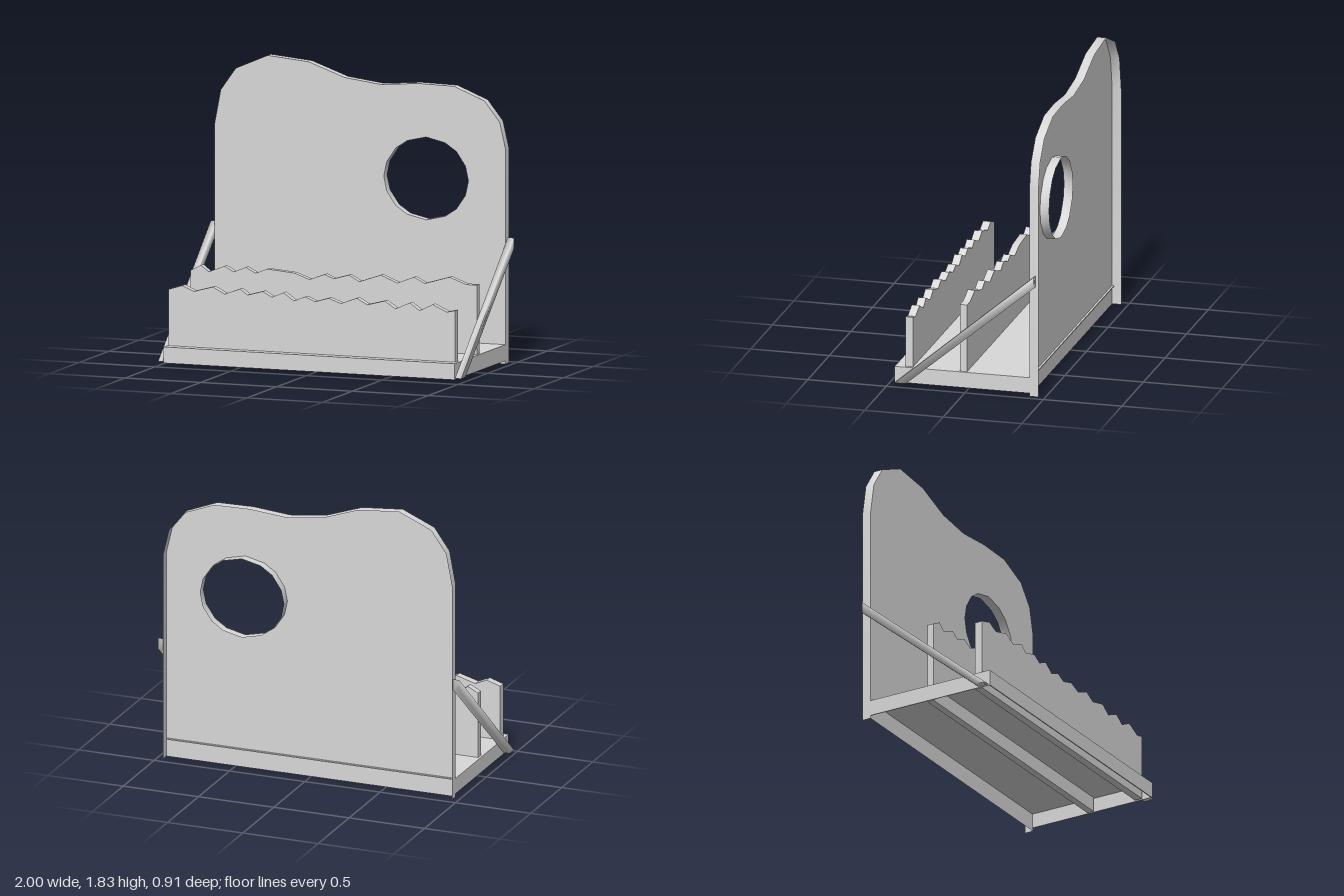
import * as THREE from 'three';
import { toCreasedNormals } from 'three/addons/utils/BufferGeometryUtils.js';

export function createModel() {
  const group = new THREE.Group();
  const grey = new THREE.MeshStandardMaterial({ color: 0xd8d8d8, side: THREE.DoubleSide });
  grey.name = 'plain grey';

  const add = (name, geometry) => {
    const mesh = new THREE.Mesh(geometry, grey);
    mesh.name = name;
    group.add(mesh);
  };
  const points = (list) => list.map(([x, y]) => new THREE.Vector2(x, y));

  // Box given by its limits
  const box = (name, x0, x1, y0, y1, z0, z1) => {
    const geo = new THREE.BoxGeometry(x1 - x0, y1 - y0, z1 - z0);
    geo.translate((x0 + x1) / 2, (y0 + y1) / 2, (z0 + z1) / 2);
    add(name, geo);
  };

  // Thin rim that follows a line of points from one depth to another
  const rim = (name, line, zFront, zBack) => {
    const geo = new THREE.PlaneGeometry(1, 1, line.length - 1, 1);
    const p = geo.attributes.position;
    for (let i = 0; i < p.count; i++) {
      const [x, y] = line[i % line.length];
      p.setXYZ(i, x, y, i < line.length ? zFront : zBack);
    }
    add(name, toCreasedNormals(geo, 0.6));
  };

  // Tall back panel: a wavy-topped sheet with a round window, rims turned to the rear
  const panelFront = -0.4, panelBack = -0.458;
  const panelOutline = [
    [0.96, 0], [0.96, 1.33], [0.92, 1.5], [0.82, 1.625], [0.62, 1.705],
    [0.38, 1.71], [0.14, 1.69], [-0.1, 1.72], [-0.34, 1.805], [-0.61, 1.83],
    [-0.82, 1.74], [-0.92, 1.6], [-0.96, 1.39], [-0.96, 0],
  ];
  const quarter = [[0, 0.257], [0.125, 0.228], [0.2, 0.178], [0.26, 0.09], [0.279, 0]];
  const half = [...quarter, ...quarter.slice(0, 4).reverse().map(([x, y]) => [x, -y])];
  const windowHole = [...half, ...half.slice(1, 8).reverse().map(([x, y]) => [-x, y])]
    .map(([x, y]) => [x + 0.435, y + 1.123]);
  const panelShape = new THREE.Shape(points(panelOutline));
  panelShape.holes.push(new THREE.Path(points(windowHole)));
  add('backPanel', new THREE.ShapeGeometry(panelShape).translate(0, 0, panelFront));
  rim('backPanelRim', panelOutline, panelFront, panelBack);
  rim('windowRim', [...windowHole, windowHole[0]], panelFront, panelBack);

  // Thin-walled tray, hollow underneath; its floor pokes just through the panel
  box('trayFloor', -0.955, 0.955, 0.113, 0.12, -0.413, 0.456);
  box('trayFront', -0.96, 0.96, 0.02, 0.12, 0.45, 0.457);
  for (const side of [-1, 1]) {
    const x = side * 0.957;
    box(side > 0 ? 'trayLeftSide' : 'trayRightSide', x - 0.003, x + 0.003, 0.02, 0.12, -0.4, 0.45);
  }

  // Two upright dividers with jagged tops
  const middleTop = [
    [-0.945, 0.54], [-0.875, 0.575], [-0.825, 0.537], [-0.72, 0.578], [-0.66, 0.545],
    [-0.58, 0.578], [-0.515, 0.545], [-0.44, 0.575], [-0.26, 0.56], [-0.16, 0.525],
    [-0.06, 0.562], [0.0, 0.538], [0.1, 0.567], [0.17, 0.53], [0.31, 0.578],
    [0.42, 0.535], [0.53, 0.578], [0.6, 0.542], [0.765, 0.59], [0.875, 0.55], [0.945, 0.55],
  ];
  const frontTop = [
    [-0.95, 0.47], [-0.86, 0.498], [-0.785, 0.465], [-0.66, 0.5], [-0.58, 0.46],
    [-0.48, 0.498], [-0.43, 0.462], [-0.33, 0.49], [-0.27, 0.458], [-0.195, 0.49],
    [-0.125, 0.443], [-0.05, 0.472], [0.015, 0.445], [0.105, 0.472], [0.185, 0.443],
    [0.29, 0.482], [0.36, 0.445], [0.475, 0.475], [0.545, 0.43], [0.64, 0.472],
    [0.705, 0.428], [0.79, 0.47], [0.885, 0.428], [0.94, 0.44],
  ];
  const divider = (name, top, zBack, zFront) => {
    const x0 = top[0][0], x1 = top[top.length - 1][0];
    const shape = new THREE.Shape(points([[x0, 0.02], [x1, 0.02], ...[...top].reverse()]));
    const geo = new THREE.ExtrudeGeometry(shape, { depth: zFront - zBack, bevelEnabled: false });
    add(name, toCreasedNormals(geo.translate(0, 0, zBack), 0.6));
  };
  divider('middleDivider', middleTop, 0, 0.045);
  divider('frontDivider', frontTop, 0.345, 0.395);

  // Sloping square braces with softly shaded edges, cut level at the foot and upright at the head
  for (const side of [-1, 1]) {
    const geo = new THREE.BoxGeometry(2, 2, 2);
    const p = geo.attributes.position;
    for (let i = 0; i < p.count; i++) {
      const x = side * 0.98 + p.getX(i) * 0.02, t = p.getZ(i);
      if (p.getY(i) > 0) p.setXYZ(i, x, 0.745 + 0.035 * t, -0.438);
      else p.setXYZ(i, x, 0.027, 0.411 + 0.035 * t);
    }
    add(side > 0 ? 'leftBrace' : 'rightBrace', toCreasedNormals(geo, 1.7));
  }

  return group;
}
